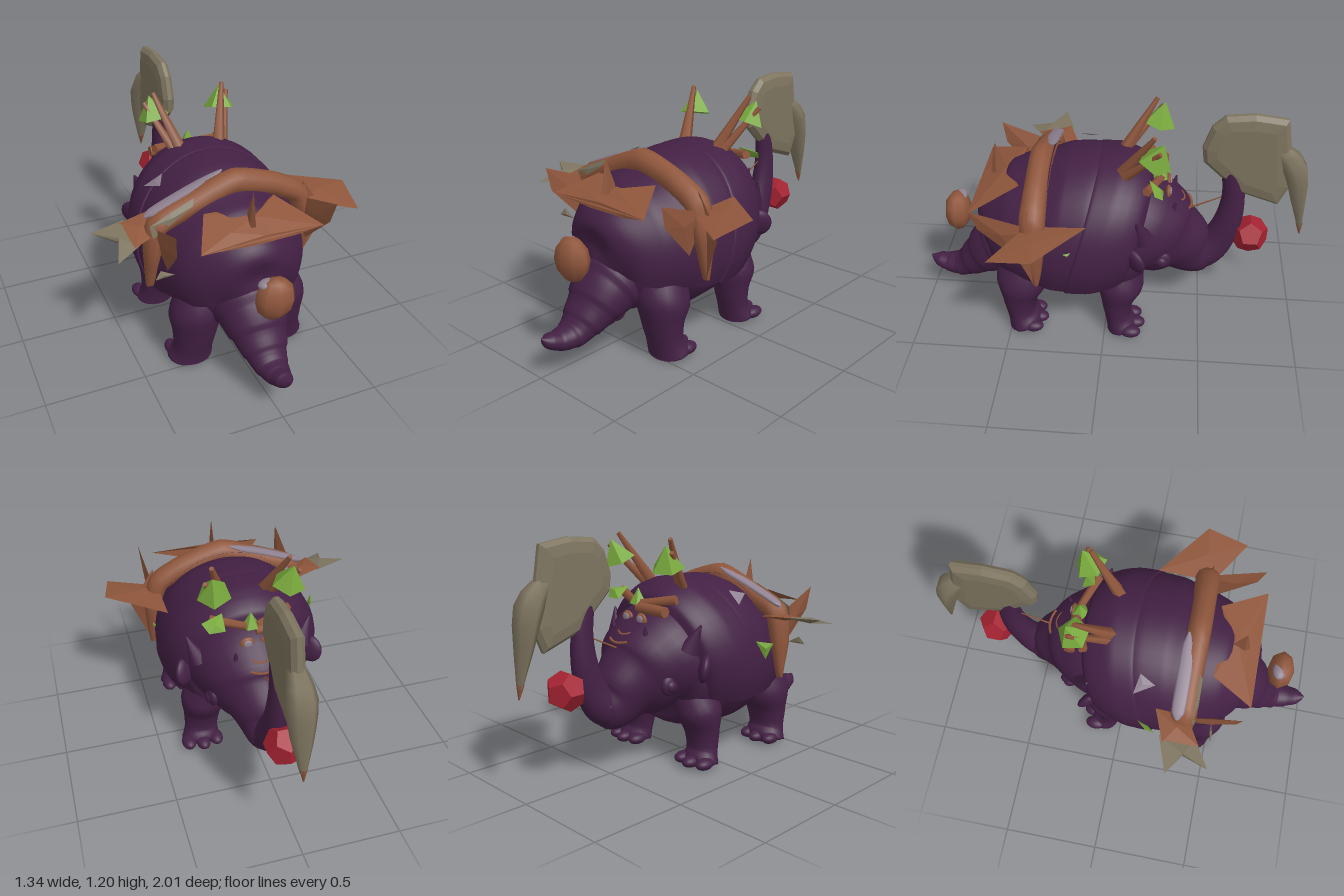
import * as THREE from 'three';

const material = (name, color, extra = {}) => {
  const m = new THREE.MeshStandardMaterial({ color, ...extra });
  m.name = name;
  return m;
};
const V = (p) => new THREE.Vector3(...p);
const CX = 0.02; // body centre line

// Smooth loft through rows [x, y, z, sideRadius, upRadius]; from/to limit the arc in degrees.
function sweep(rows, { side = [1, 0, 0], steps = 32, seg = 32, from = 0, to = 360, ridge = null, shear = 0, tension = 0.5 } = {}) {
  const path = new THREE.CatmullRomCurve3(rows.map((r) => V(r.slice(0, 3))), false, 'catmullrom', tension);
  const size = new THREE.CatmullRomCurve3(rows.map((r) => new THREE.Vector3(r[3], r[4], 0)));
  const closed = to - from === 360, ring = closed ? seg : seg + 1;
  const S = V(side), pos = [], idx = [];
  for (let i = 0; i <= steps; i++) {
    const t = i / steps, c = path.getPoint(t), s = size.getPoint(t);
    const U = path.getTangent(t).cross(S).normalize();
    const k = ridge ? ridge(t) : 1;
    for (let j = 0; j < ring; j++) {
      const a = THREE.MathUtils.degToRad(from + ((to - from) * j) / seg);
      const p = c.clone().addScaledVector(S, Math.cos(a) * Math.max(s.x, 0) * k)
        .addScaledVector(U, Math.sin(a) * Math.max(s.y, 0) * k);
      p.z -= shear * (p.y - 0.45);
      pos.push(p.x, p.y, p.z);
    }
  }
  for (let i = 0; i < steps; i++) for (let j = 0; j < seg; j++) {
    const a = i * ring + j, b = i * ring + ((j + 1) % ring), c = a + ring, d = b + ring;
    idx.push(a, b, c, b, d, c);
  }
  const g = new THREE.BufferGeometry();
  g.setAttribute('position', new THREE.Float32BufferAttribute(pos, 3));
  g.setIndex(idx);
  g.computeVertexNormals();
  return g;
}

// Faceted splinter: an outline with a raised centre on both sides.
function splinter(outline, thick = 0.015) {
  const pts = outline.map(V), n = new THREE.Vector3(), c = new THREE.Vector3();
  pts.forEach((p, i) => {
    n.add(p.clone().cross(pts[(i + 1) % pts.length]));
    c.addScaledVector(p, 1 / pts.length);
  });
  n.normalize();
  const f = c.clone().addScaledVector(n, thick), b = c.clone().addScaledVector(n, -thick), out = [];
  pts.forEach((p, i) => {
    const q = pts[(i + 1) % pts.length];
    out.push(f, p, q, b, q, p);
  });
  const g = new THREE.BufferGeometry().setFromPoints(out);
  g.computeVertexNormals();
  return g;
}

// Bevelled slab in the y-z plane, from points [z, y]
function slab(points, depth, bevelThickness, bevelSize) {
  const shape = new THREE.Shape(points.map(([z, y]) => new THREE.Vector2(-z, y)));
  return new THREE.ExtrudeGeometry(shape, { depth, bevelThickness, bevelSize, bevelOffset: -bevelSize, bevelSegments: 2 })
    .translate(0, 0, -depth / 2).rotateY(Math.PI / 2);
}

export function createModel() {
  const root = new THREE.Group();
  const hide = material('purple hide', 0x432044, { side: THREE.DoubleSide });
  const wood = material('brown wood', 0x8f563c, { side: THREE.DoubleSide });
  const bone = material('grey bark', 0x7d745f, { side: THREE.DoubleSide });
  const leaf = material('green leaf', 0x78a83c, { flatShading: true, side: THREE.DoubleSide });
  const red = material('red fruit', 0xa42232, { flatShading: true });
  const lilac = material('pale lilac', 0x8f8191, { side: THREE.DoubleSide });
  const add = (name, geo, mat, p = [0, 0, 0], s = [1, 1, 1]) => {
    const m = new THREE.Mesh(geo, mat);
    m.name = name;
    m.position.set(...p);
    m.scale.set(...s);
    root.add(m);
    return m;
  };
  const ball = (name, p, s, mat = hide) => add(name, new THREE.SphereGeometry(1, 20, 14), mat, p, s);
  // Rows [z, y, halfWidth, halfHeight], running from tail to head
  const along = (rows) => rows.map(([z, y, w, h]) => [CX, y, z, w, h]);
  // Tapered stick between two points
  const stick = (name, a, b, r1, r2, mat = wood, sides = 5) => {
    const d = V(b).sub(V(a));
    const m = add(name, new THREE.CylinderGeometry(r2, r1, d.length(), sides), mat);
    m.position.copy(V(a).addScaledVector(d, 0.5));
    m.quaternion.setFromUnitVectors(new THREE.Vector3(0, 1, 0), d.normalize());
    return m;
  };

  // Belly and head
  add('belly', sweep(along([[0.62, 0.42, 0, 0], [0.58, 0.42, 0.2, 0.2], [0.45, 0.44, 0.3, 0.28], [0.2, 0.46, 0.35, 0.34],
    [0, 0.47, 0.35, 0.33], [-0.16, 0.48, 0.31, 0.27], [-0.25, 0.46, 0, 0]])), hide);
  add('head', sweep(along([[0, 0.53, 0.34, 0.34], [-0.14, 0.53, 0.32, 0.3], [-0.23, 0.5, 0.28, 0.26], [-0.31, 0.45, 0.22, 0.225],
    [-0.38, 0.41, 0.165, 0.18], [-0.45, 0.35, 0.12, 0.14], [-0.52, 0.32, 0.09, 0.1], [-0.56, 0.32, 0, 0]])), hide);
  add('snoutHorn', sweep([[CX, 0.31, -0.42, 0.1, 0.1], [CX, 0.36, -0.52, 0.085, 0.1], [CX, 0.45, -0.585, 0.065, 0.085], [CX, 0.58, -0.625, 0.055, 0.07],
    [CX, 0.72, -0.635, 0.045, 0.058], [CX, 0.84, -0.62, 0.04, 0.052], [CX, 0.91, -0.602, 0.034, 0.035], [CX, 0.945, -0.59, 0, 0]]), hide);

  // Armour shell: open skirts with rims
  const arc = { from: -205, to: 25 };
  add('rearShell', sweep(along([[0.67, 0.5, 0, 0], [0.655, 0.5, 0.12, 0.13], [0.6, 0.51, 0.24, 0.245], [0.5, 0.51, 0.325, 0.325],
    [0.39, 0.51, 0.37, 0.36], [0.28, 0.51, 0.4, 0.41]]), arc), hide);
  add('middleShell', sweep(along([[0.33, 0.51, 0.39, 0.39], [0.25, 0.51, 0.41, 0.42], [0.14, 0.51, 0.415, 0.428], [0.06, 0.51, 0.4, 0.42]]),
    { ...arc, shear: 0.12 }), hide);
  add('frontShell', sweep(along([[0.17, 0.51, 0.4, 0.41], [0.155, 0.51, 0.425, 0.428], [0.06, 0.51, 0.422, 0.43], [-0.03, 0.51, 0.4, 0.405],
    [-0.1, 0.51, 0.365, 0.365], [-0.13, 0.51, 0.32, 0.32]]), { ...arc, shear: 0.26 }), hide);

  // Ringed tail
  add('tail', sweep([[CX, 0.38, 0.52, 0.2, 0.2], [CX, 0.32, 0.62, 0.175, 0.155], [CX, 0.235, 0.72, 0.13, 0.105], [CX, 0.17, 0.81, 0.09, 0.07],
    [CX, 0.16, 0.89, 0.065, 0.052], [CX, 0.18, 0.96, 0.042, 0.035], [CX, 0.205, 1, 0, 0]],
  { steps: 56, ridge: (t) => 0.97 + 0.06 * ((t * 7) % 1) }), hide);

  // Legs, feet, toes and face, mirrored
  for (const s of [-1, 1]) {
    const side = s < 0 ? 'right' : 'left', X = (d) => CX + s * d;
    for (const [end, z, w, top] of [['Rear', 0.45, 0.115, 0.4], ['Front', -0.07, 0.1, 0.38]]) {
      add(side + end + 'Leg', sweep([[X(0.2), top, z - 0.03, w, w], [X(0.225), 0.29, z - 0.01, w + 0.02, w + 0.02], [X(0.235), 0.18, z + 0.005, w, w * 0.85],
        [X(0.245), 0.08, z, w * 0.9, w * 0.68], [X(0.255), 0.02, z - 0.02, w * 1.02, w * 0.8], [X(0.255), 0.005, z - 0.02, 0, 0]], { steps: 20, seg: 20 }), hide);
      for (const t of [-1, 0, 1]) ball(side + end + 'Toe', [X(0.255) + t * 0.075, 0.03, z - 0.09 + Math.abs(t) * 0.02], [0.038, 0.03, 0.055]);
    }
    const ear = ball(side + 'Ear', [X(0.335), 0.535, -0.15], [0.07, 0.075, 0.03]);
    ear.rotation.set(0.3, s * 0.8, s * 0.4);
    ball(side + 'EyeSocket', [X(0.225), 0.455, -0.28], [0.03, 0.055, 0.055]);
    ball(side + 'Eye', [X(0.24), 0.45, -0.285], [0.025, 0.032, 0.032]);
    stick(side + 'BrowHorn', [X(0.265), 0.62, -0.19], [X(0.32), 0.75, -0.16], 0.055, 0.004, hide, 12);
    stick(side + 'NoseSpike', [X(0.11), 0.61, -0.32], [X(0.12), 0.74, -0.345], 0.035, 0.004, hide, 12);
    ball(side + 'Nostril', [X(0.06), 0.36, -0.53], [0.025, 0.025, 0.025]);
    // Small carved eyes on the crown
    ball(side + 'CarvedEye', [X(0.05), 0.755, -0.305], [0.038, 0.036, 0.014], wood);
    ball(side + 'CarvedPupil', [X(0.05), 0.76, -0.316], [0.022, 0.021, 0.008], lilac);
  }
  // Two curved lines below the carved eyes
  for (const [y, z, w] of [[0.7, -0.37, 0.045], [0.665, -0.41, 0.065]]) {
    const line = new THREE.QuadraticBezierCurve3(V([CX - w, y, z]), V([CX, y - 0.02, z - 0.035]), V([CX + w, y, z]));
    add('carvedSmile', new THREE.TubeGeometry(line, 10, 0.007, 5), wood);
  }
  stick('noseSplinter', [CX, 0.6, -0.37], [CX, 0.71, -0.59], 0.006, 0.003);

  // Thick wooden arch over the back
  add('woodenArch', sweep([[-0.4, 0.41, 0.33, 0.01, 0.02], [-0.39, 0.58, 0.34, 0.055, 0.04], [-0.36, 0.755, 0.34, 0.065, 0.055], [-0.18, 0.83, 0.34, 0.06, 0.06],
    [0.03, 0.903, 0.34, 0.06, 0.065], [0.24, 0.845, 0.34, 0.06, 0.06], [0.375, 0.77, 0.34, 0.065, 0.055], [0.42, 0.62, 0.34, 0.06, 0.045],
    [0.425, 0.4, 0.33, 0.01, 0.02]], { side: [0, 0, 1], seg: 10, steps: 32, tension: 0.25 }), wood);
  add('archLichen', sweep([[-0.41, 0.79, 0.31, 0.008, 0.008], [-0.36, 0.817, 0.31, 0.035, 0.012], [-0.19, 0.885, 0.308, 0.036, 0.012], [-0.08, 0.922, 0.302, 0.03, 0.012],
    [-0.01, 0.95, 0.295, 0.005, 0.005]], { side: [0, 0, 1], seg: 8, steps: 10 }), lilac);
  add('archBark', splinter([[-0.41, 0.78, 0.385], [-0.4, 0.72, 0.4], [-0.32, 0.775, 0.405], [-0.2, 0.85, 0.4], [-0.19, 0.88, 0.38], [-0.31, 0.83, 0.385]], 0.009), bone);

  // Splintered planks around the shell
  const planks = [
    ['rearPlank', [[-0.27, 0.755, 0.66], [0.35, 0.765, 0.66], [0.2, 0.84, 0.43], [0.13, 0.82, 0.46], [-0.17, 0.83, 0.45]]],
    ['rearPlankEdge', [[-0.27, 0.757, 0.658], [0, 0.74, 0.655], [0.22, 0.745, 0.655], [0.35, 0.767, 0.658], [0.1, 0.8, 0.6], [-0.1, 0.8, 0.6]]],
    ['rearFin', [[CX, 0.97, 0.575], [CX, 0.8, 0.51], [CX, 0.68, 0.62], [CX, 0.78, 0.61]]],
    ['leftPlank', [[0.38, 0.74, 0.08], [0.67, 0.75, 0.3], [0.63, 0.71, 0.52], [0.38, 0.73, 0.37]]],
    ['leftDropPlank', [[0.4, 0.84, 0.36], [0.46, 0.75, 0.36], [0.53, 0.63, 0.38], [0.43, 0.39, 0.34], [0.38, 0.55, 0.3]]],
    ['leftSidePlank', [[0.4, 0.72, 0.3], [0.43, 0.84, 0.63], [0.42, 0.73, 0.6], [0.4, 0.54, 0.42]]],
    ['rightPlank', [[-0.36, 0.75, 0.2], [-0.52, 0.755, 0.26], [-0.5, 0.72, 0.44], [-0.36, 0.72, 0.36]]],
    ['rightSidePlank', [[-0.38, 0.72, 0.3], [-0.37, 0.85, 0.62], [-0.36, 0.73, 0.6], [-0.34, 0.54, 0.42]]],
  ];
  for (const [name, outline] of planks) add(name, splinter(outline), wood);
  add('rightPlankTip', splinter([[-0.49, 0.755, 0.24], [-0.67, 0.76, 0.3], [-0.56, 0.73, 0.37], [-0.6, 0.7, 0.5], [-0.47, 0.715, 0.42]]), bone);
  add('shellChip', splinter([[-0.24, 0.88, 0.1], [-0.33, 0.82, 0.08], [-0.28, 0.86, 0.18]], 0.006), lilac);
  add('sideChip', splinter([[-0.4, 0.6, 0.49], [-0.43, 0.56, 0.5], [-0.33, 0.56, 0.49]], 0.008), bone);
  add('rightShellLeaf', splinter([[-0.41, 0.64, 0.12], [-0.45, 0.62, 0.21], [-0.425, 0.54, 0.18]], 0.012), leaf);
  add('leftShellLeaf', splinter([[0.435, 0.625, 0.15], [0.445, 0.62, 0.19], [0.44, 0.6, 0.17]], 0.008), leaf);
  add('woodKnot', new THREE.SphereGeometry(1, 8, 6), wood, [0.03, 0.54, 0.805], [0.1, 0.11, 0.07]);
  ball('knotLichen', [0, 0.615, 0.79], [0.05, 0.025, 0.035], lilac);

  // Fan of bark above the horn
  add('barkFan', slab([[-0.47, 0.92], [-0.46, 1.0], [-0.5, 1.12], [-0.56, 1.18], [-0.7, 1.195], [-0.86, 1.175], [-0.89, 1.0],
    [-0.91, 0.8], [-0.86, 0.68], [-0.65, 0.75]], 0.02, 0.03, 0.07), bone, [CX, 0, 0]);
  // Drooping blade with a brown point
  add('barkBlade', sweep([[CX, 1.04, -0.76, 0.015, 0.01], [CX, 0.98, -0.86, 0.05, 0.05], [CX, 0.89, -0.925, 0.075, 0.065],
    [CX, 0.74, -0.955, 0.06, 0.045], [CX, 0.6, -0.98, 0.03, 0.022], [CX, 0.54, -0.99, 0.016, 0.012]], { seg: 6, steps: 10 }), bone);
  stick('bladeTip', [CX, 0.56, -0.987], [CX, 0.49, -0.997], 0.02, 0.003);
  add('fruit', new THREE.DodecahedronGeometry(0.1, 0), red, [CX, 0.475, -0.74]);

  // Branches and leaf buds behind the head
  for (const s of [-1, 1]) {
    const X = (d) => 0.03 + s * d;
    stick('mainBranch', [X(0.1), 0.88, -0.06], [X(0.19), 1.16, -0.23], 0.035, 0.012);
    stick('sideBranch', [X(0.14), 0.9, -0.09], [X(0.23), 1.1, -0.26], 0.025, 0.012);
    stick('crossBranch', [X(0.2), 0.86, -0.2], [X(0.02), 0.83, -0.27], 0.025, 0.02);
    const bud = add('leafBud', new THREE.ConeGeometry(0.085, 0.12, 5), leaf, [X(0.19), 1.075, -0.255]);
    bud.rotation.set(-0.3, 0.4, -s * 0.15);
  }
  add('smallLeaf', splinter([[0.17, 0.89, -0.21], [0.28, 0.87, -0.24], [0.25, 0.83, -0.28], [0.17, 0.83, -0.28]], 0.02), leaf);
  add('centreBud', new THREE.ConeGeometry(0.045, 0.08, 5), leaf, [0.04, 0.865, -0.26]);
  stick('shortLog', [-0.17, 0.81, -0.275], [0.02, 0.81, -0.275], 0.028, 0.028, wood, 7);

  return root;
}
